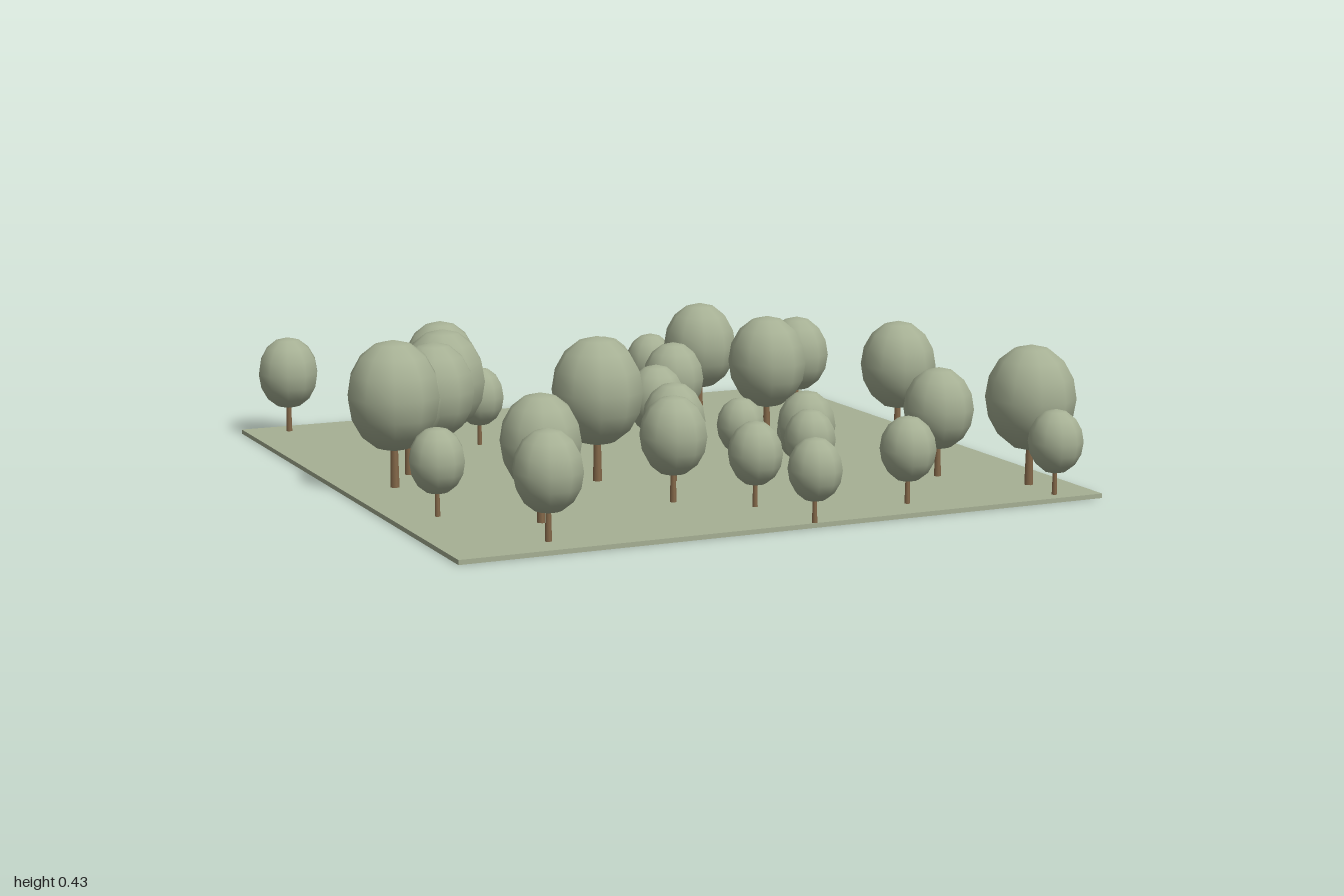
import * as THREE from 'three';

// x, z and crown radius of each tree; everything else scales with the radius
const TREES = [
  [-0.834, -0.907, 0.094], [-0.438, -0.619, 0.115], [-0.375, -0.455, 0.076], [0.032, -0.444, 0.098],
  [0.335, -0.767, 0.08], [0.441, -0.619, 0.116], [0.731, -0.508, 0.101], [0.211, -0.325, 0.094],
  [0.472, -0.206, 0.12], [0.839, -0.042, 0.115], [0.037, -0.071, 0.088], [-0.573, -0.233, 0.127],
  [-0.63, -0.152, 0.12], [-0.72, -0.125, 0.116], [-0.815, 0.026, 0.134], [-0.261, 0.18, 0.133],
  [-0.066, 0.275, 0.091], [0.161, 0.243, 0.07], [0.275, 0.4, 0.07], [0.28, 0.423, 0.083],
  [0.235, 0.53, 0.073], [0.652, 0.524, 0.101], [-0.185, 0.527, 0.095], [-0.507, 0.415, 0.072],
  [-0.836, 0.429, 0.078], [-0.612, 0.614, 0.112], [-0.678, 0.825, 0.095], [-0.008, 0.675, 0.076],
  [0.047, 0.918, 0.074], [0.39, 0.81, 0.078], [0.826, 0.735, 0.128], [0.82, 0.878, 0.077],
];
const GROUND = 0.013;

export function createModel() {
  const model = new THREE.Group();
  model.name = 'grove';
  const green = new THREE.MeshStandardMaterial({ color: 0xa6b094 });
  green.name = 'sage green';
  const brown = new THREE.MeshStandardMaterial({ color: 0x85694a });
  brown.name = 'bark brown';

  // thin square ground plate
  const plate = new THREE.Mesh(new THREE.BoxGeometry(1.91, GROUND, 1.912), green);
  plate.name = 'ground';
  plate.position.set(-0.008, GROUND / 2, -0.032);
  model.add(plate);

  // unit tree: tapered trunk and tall rounded crown of radius 1
  const trunkGeo = new THREE.CylinderGeometry(0.07, 0.1, 1.2, 7).translate(0, 0.6, 0);
  const crownGeo = new THREE.SphereGeometry(1, 10, 8).scale(1, 1.18, 1).translate(0, 1.95, 0);

  TREES.forEach(([x, z, r], i) => {
    const tree = new THREE.Group();
    tree.name = `tree${i + 1}`;
    const trunk = new THREE.Mesh(trunkGeo, brown);
    trunk.name = 'trunk';
    const crown = new THREE.Mesh(crownGeo, green);
    crown.name = 'crown';
    tree.add(trunk, crown);
    tree.position.set(x, GROUND, z);
    tree.scale.setScalar(r);
    model.add(tree);
  });
  return model;
}
